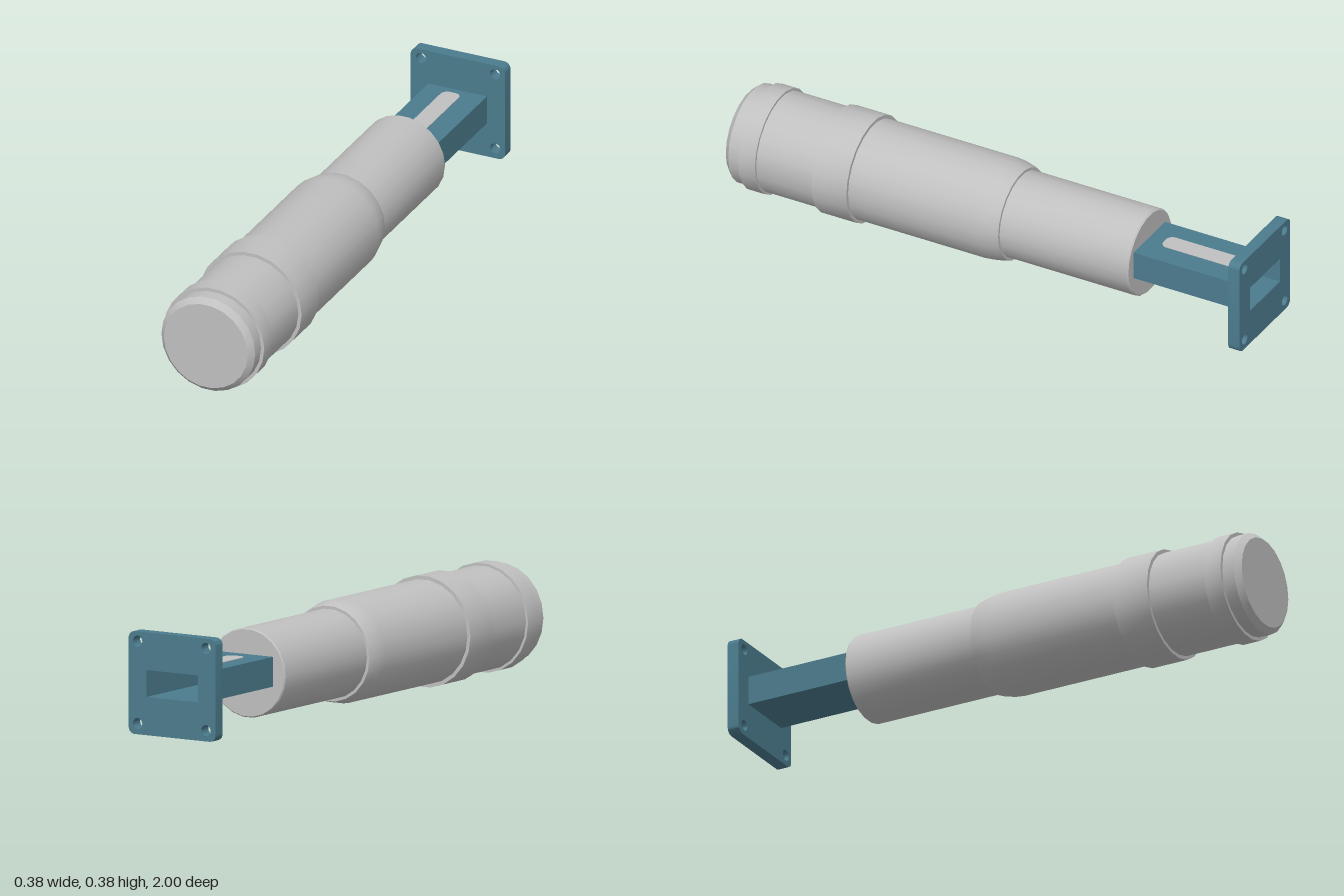
import * as THREE from 'three';
import { toCreasedNormals } from 'three/addons/utils/BufferGeometryUtils.js';

const SIDES = 22;
const AXIS_Y = 0.19;               // height of the body axis
const GUIDE = { x: 0.005, y: 0.203, w: 0.22, h: 0.102, wall: 0.005 };

// Rounded rectangle traced around a centre
function roundedRect(path, cx, cy, w, h, r) {
  const x = w / 2 - r, y = h / 2 - r;
  path.absarc(cx + x, cy + y, r, 0, Math.PI / 2);
  path.absarc(cx - x, cy + y, r, Math.PI / 2, Math.PI);
  path.absarc(cx - x, cy - y, r, Math.PI, Math.PI * 1.5);
  path.absarc(cx + x, cy - y, r, Math.PI * 1.5, Math.PI * 2);
  path.closePath();
  return path;
}

function rect(path, cx, cy, w, h) {
  path.moveTo(cx - w / 2, cy - h / 2);
  path.lineTo(cx + w / 2, cy - h / 2);
  path.lineTo(cx + w / 2, cy + h / 2);
  path.lineTo(cx - w / 2, cy + h / 2);
  path.closePath();
  return path;
}

// Extrude a shape in z between two planes
function extrudeZ(shape, z0, z1) {
  const geo = new THREE.ExtrudeGeometry(shape, { depth: z1 - z0, bevelEnabled: false, curveSegments: 8 });
  return toCreasedNormals(geo.translate(0, 0, z0), 0.5);
}

// Turned part along z from [radius, z] pairs, back to front
function turned(profile) {
  const pts = profile.map(([r, z]) => new THREE.Vector2(r, z));
  const geo = new THREE.LatheGeometry(pts, SIDES, Math.PI / 2);
  geo.rotateX(Math.PI / 2).translate(0, AXIS_Y, 0);
  return toCreasedNormals(geo, 0.4);
}

export function createModel() {
  const grey = new THREE.MeshStandardMaterial({ name: 'light grey', color: 0xc0c0c0 });
  const blue = new THREE.MeshStandardMaterial({ name: 'steel blue', color: 0x4c7c8e });
  const model = new THREE.Group();
  const add = (name, geo, mat) => {
    const mesh = new THREE.Mesh(geo, mat);
    mesh.name = name;
    model.add(mesh);
    return mesh;
  };

  // Narrow rear barrel
  add('rearBarrel', turned([
    [0, -0.553], [0.15, -0.553], [0.154, -0.548], [0.154, -0.04], [0, -0.04],
  ]), grey);

  // Main barrel with tapered shoulder and chamfered nose
  add('mainBarrel', turned([
    [0, -0.057], [0.164, -0.057], [0.167, -0.05], [0.176, -0.01], [0.179, 0.02],
    [0.179, 0.9], [0.176, 0.9], [0.176, 0.98], [0.157, 1], [0, 1],
  ]), grey);

  // Raised bands
  for (const [name, r, z0, z1] of [['wideBand', 0.1915, 0.515, 0.65], ['frontBand', 0.188, 0.87, 0.935]]) {
    add(name, turned([[0.17, z0], [r, z0], [r, z1], [0.17, z1]]), grey);
  }

  // Hollow rectangular guide
  const innerW = GUIDE.w - 2 * GUIDE.wall, innerH = GUIDE.h - 2 * GUIDE.wall;
  const guide = rect(new THREE.Shape(), GUIDE.x, GUIDE.y, GUIDE.w, GUIDE.h);
  guide.holes.push(rect(new THREE.Path(), GUIDE.x, GUIDE.y, innerW, innerH));
  add('waveguide', extrudeZ(guide, -0.958, -0.55), blue);

  // Square flange with four bolt holes and the guide opening
  const flange = roundedRect(new THREE.Shape(), 0.006, 0.202, 0.354, 0.352, 0.025);
  flange.holes.push(rect(new THREE.Path(), GUIDE.x, GUIDE.y, innerW, innerH));
  for (const sx of [-1, 1]) {
    for (const sy of [-1, 1]) {
      const hole = new THREE.Path();
      hole.absarc(0.007 + sx * 0.139, 0.204 + sy * 0.141, 0.019, 0, Math.PI * 2);
      flange.holes.push(hole);
    }
  }
  add('flange', extrudeZ(flange, -1, -0.957), blue);

  // Pale rounded strip on top of the guide
  const strip = extrudeZ(roundedRect(new THREE.Shape(), 0, 0.77, 0.068, 0.32, 0.025), 0, 0.002);
  strip.rotateX(-Math.PI / 2).translate(0, GUIDE.y + GUIDE.h / 2, 0);
  add('topStrip', strip, grey);

  return model;
}
